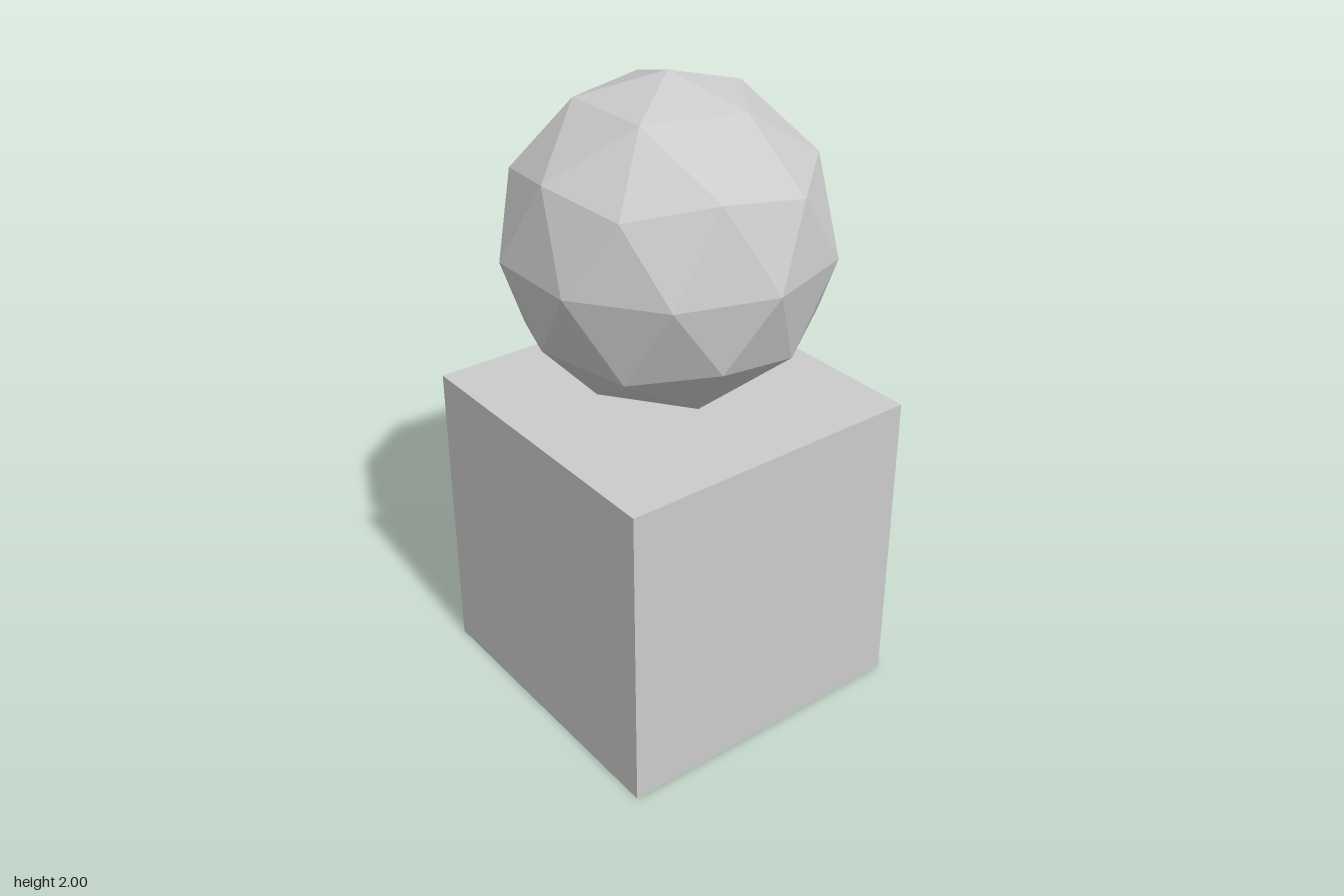
import * as THREE from 'three';

export function createModel() {
  const model = new THREE.Group();
  const material = new THREE.MeshStandardMaterial({ color: 0xcccccc, flatShading: true });

  function addPart(name, geometry, y) {
    const mesh = new THREE.Mesh(geometry, material);
    mesh.name = name;
    mesh.position.y = y;
    model.add(mesh);
  }

  // Cube pedestal standing on the ground
  addPart('pedestal', new THREE.BoxGeometry(1, 1, 1), 0.5);

  // Faceted ball, tilted so that one corner points up and one rests on the pedestal
  const goldenRatio = (1 + Math.sqrt(5)) / 2;
  const ball = new THREE.IcosahedronGeometry(0.5, 1);
  ball.rotateZ(-Math.atan(1 / goldenRatio));
  addPart('ball', ball, 1.5);

  return model;
}
